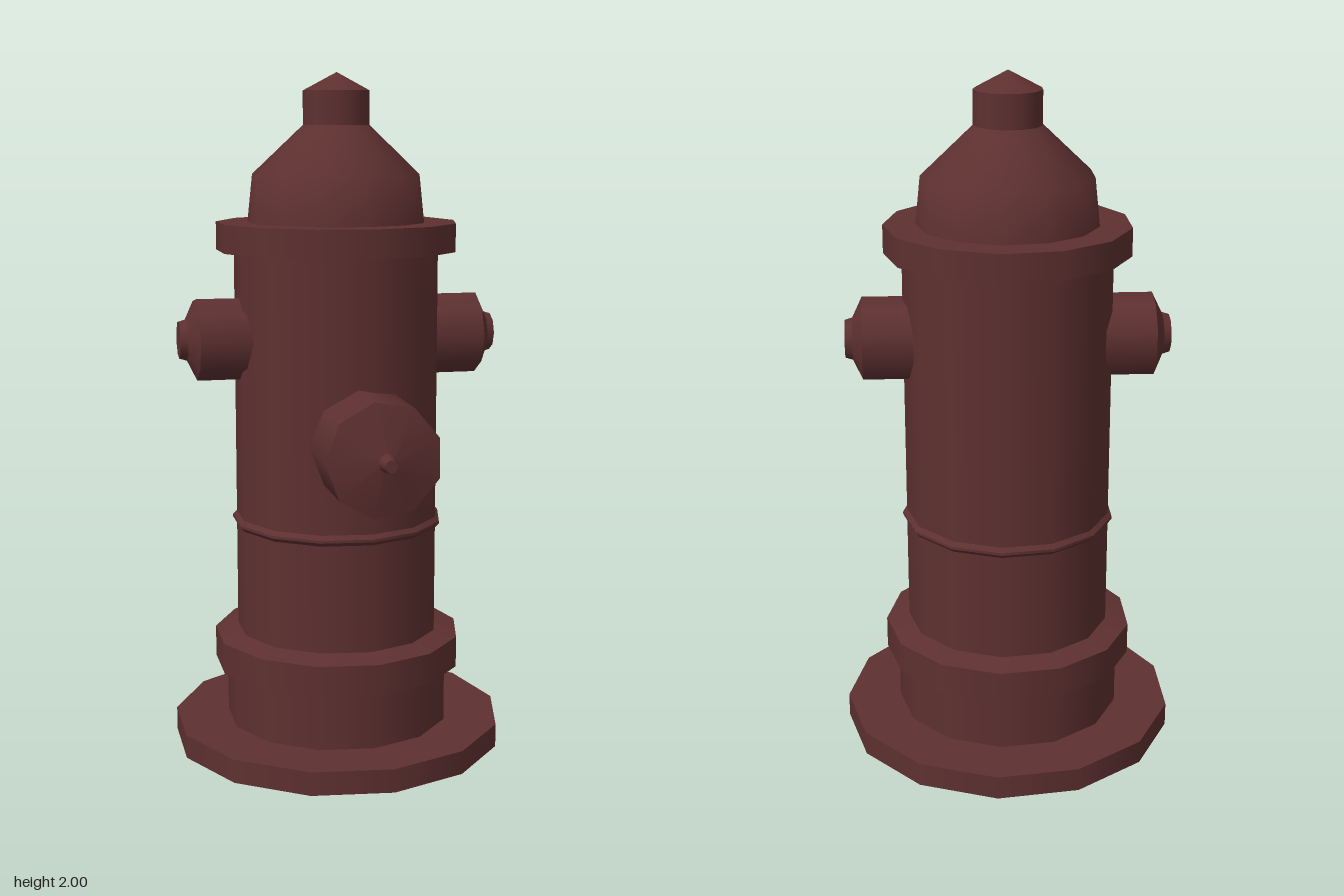
import * as THREE from 'three';
import { mergeGeometries } from 'three/addons/utils/BufferGeometryUtils.js';

const BODY_SIDES = 13;
const OUTLET_SIDES = 9;

// Turned shape: smooth around the axis, with a crisp edge at each profile point
function turned(profile, sides, phiStart) {
  const pts = profile.map(([r, y]) => new THREE.Vector2(r, y));
  const bands = [];
  for (let i = 0; i < pts.length - 1; i++) {
    bands.push(new THREE.LatheGeometry([pts[i], pts[i + 1]], sides, phiStart));
  }
  return mergeGeometries(bands);
}

export function createModel() {
  const model = new THREE.Group();
  model.name = 'fireHydrant';
  const paint = new THREE.MeshStandardMaterial({ color: 0x5e3030 });
  paint.name = 'darkRedPaint';

  const add = (name, geometry, x = -0.007, y = 0, z = -0.036) => {
    const mesh = new THREE.Mesh(geometry, paint);
    mesh.name = name;
    mesh.position.set(x, y, z);
    model.add(mesh);
  };

  // Stacked parts around the upright axis, as [radius, height] profiles
  const stack = {
    basePlate: [[0, 0], [0.497, 0], [0.497, 0.07], [0, 0.07]],
    foot: [[0.336, 0.07], [0.336, 0.235]],
    lowerCollar: [[0.325, 0.228], [0.372, 0.242], [0.372, 0.335], [0.3, 0.352]],
    barrel: [[0.303, 0.3], [0.303, 1.5]],
    barrelBead: [[0.303, 0.67], [0.315, 0.682], [0.315, 0.69], [0.303, 0.702]],
    topFlange: [[0.28, 1.49], [0.355, 1.49], [0.355, 1.572], [0, 1.572]],
    topNut: [[0.098, 1.84], [0.098, 1.948], [0, 2]],
  };
  for (const [name, profile] of Object.entries(stack)) {
    add(name, turned(profile, BODY_SIDES, Math.PI / 2));
  }

  // Bonnet is smooth over its shoulder
  const bonnet = [[0.262, 1.57], [0.247, 1.71], [0.095, 1.853]].map(([r, y]) => new THREE.Vector2(r, y));
  add('bonnet', new THREE.LatheGeometry(bonnet, BODY_SIDES, Math.PI / 2));

  // Large front outlet with shallow conical cap and small stem
  const front = turned(
    [[0, 0.2], [0.165, 0.2], [0.165, 0.488], [0.027, 0.522]], OUTLET_SIDES, -Math.PI / 2);
  add('frontOutlet', front.rotateX(Math.PI / 2), 0.02, 0.957);
  const stem = turned([[0.027, 0.515], [0.018, 0.566], [0, 0.566]], OUTLET_SIDES, -Math.PI / 2);
  add('frontOutletStem', stem.rotateX(Math.PI / 2), 0.02, 0.957);

  // Mirrored side outlets with chamfered caps and nuts
  for (const side of [1, -1]) {
    const label = side > 0 ? 'left' : 'right';
    const outlet = turned(
      [[0, 0.2], [0.121, 0.2], [0.121, 0.42], [0.062, 0.448]], OUTLET_SIDES, 0);
    add(label + 'Outlet', outlet.rotateZ(-side * Math.PI / 2), -0.007, 1.237);
    const nut = turned([[0.062, 0.448], [0.055, 0.47], [0, 0.47]], OUTLET_SIDES, 0);
    add(label + 'OutletNut', nut.rotateZ(-side * Math.PI / 2), -0.007, 1.237);
  }

  return model;
}
